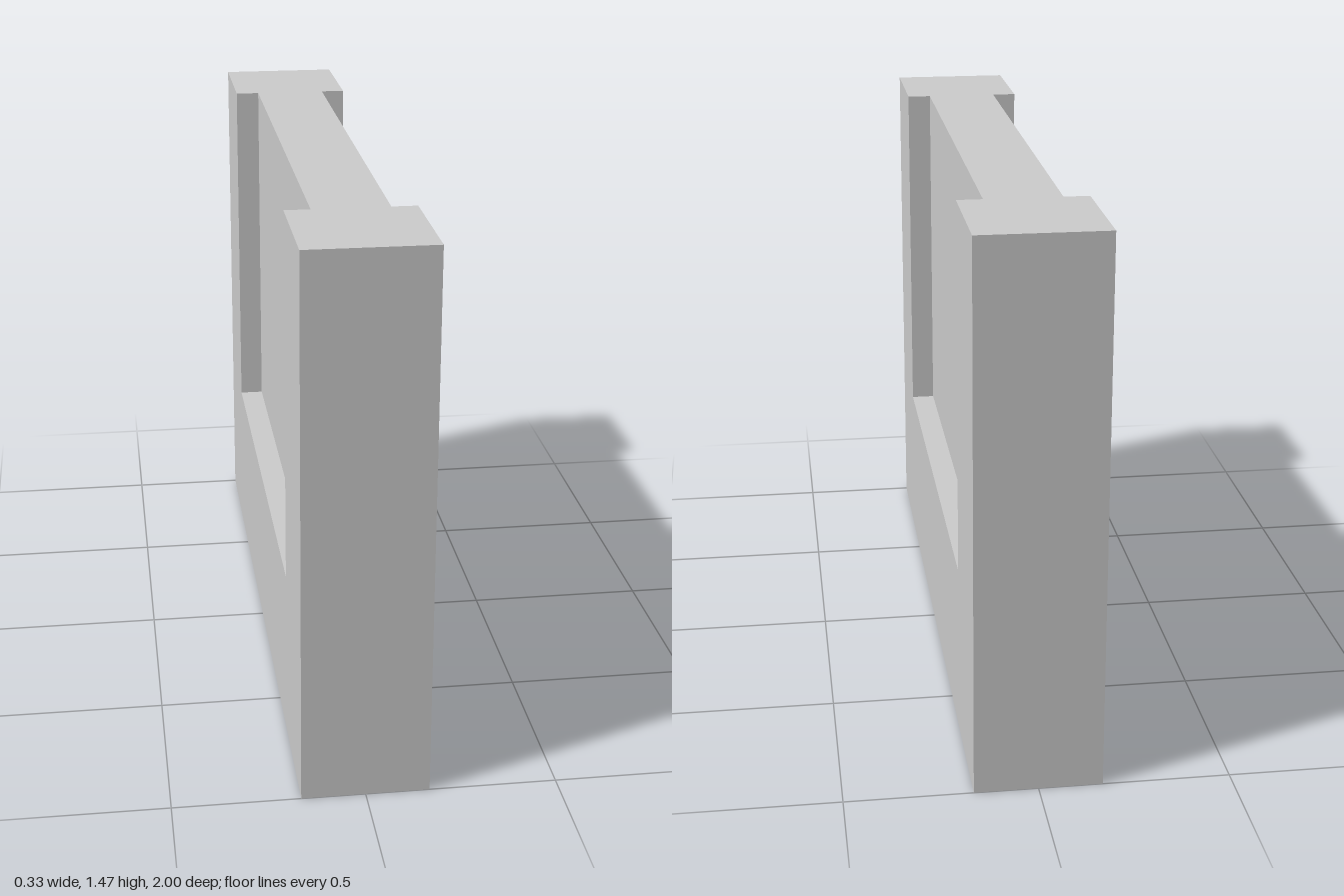
import * as THREE from 'three';

const HALF_WIDTH = 0.167, HALF_LENGTH = 1, HEIGHT = 1.467;
const SILL = 0.467;         // height where the side recesses begin
const RECESS_HALF = 0.667;  // half length of each recess
const WEB_HALF = 0.1;       // half thickness between the recesses

export function createModel() {
  const model = new THREE.Group();
  model.name = 'recessedWall';
  const grey = new THREE.MeshStandardMaterial({ color: 0xcccccc });
  grey.name = 'plainGrey';

  // Solid lower block
  const base = new THREE.Mesh(
    new THREE.BoxGeometry(HALF_WIDTH * 2, SILL, HALF_LENGTH * 2), grey);
  base.name = 'base';
  base.position.y = SILL / 2;

  // Upper wall: an I-shaped plan, with a recess open at the top on each side
  const plan = new THREE.Shape([
    [-HALF_WIDTH, -HALF_LENGTH], [HALF_WIDTH, -HALF_LENGTH],
    [HALF_WIDTH, -RECESS_HALF], [WEB_HALF, -RECESS_HALF],
    [WEB_HALF, RECESS_HALF], [HALF_WIDTH, RECESS_HALF],
    [HALF_WIDTH, HALF_LENGTH], [-HALF_WIDTH, HALF_LENGTH],
    [-HALF_WIDTH, RECESS_HALF], [-WEB_HALF, RECESS_HALF],
    [-WEB_HALF, -RECESS_HALF], [-HALF_WIDTH, -RECESS_HALF],
  ].map(([x, z]) => new THREE.Vector2(x, z)));
  const wallGeometry = new THREE.ExtrudeGeometry(plan, { depth: HEIGHT - SILL, bevelEnabled: false });
  wallGeometry.rotateX(-Math.PI / 2);
  const wall = new THREE.Mesh(wallGeometry, grey);
  wall.name = 'recessedUpperWall';
  wall.position.y = SILL;

  model.add(base, wall);
  return model;
}
